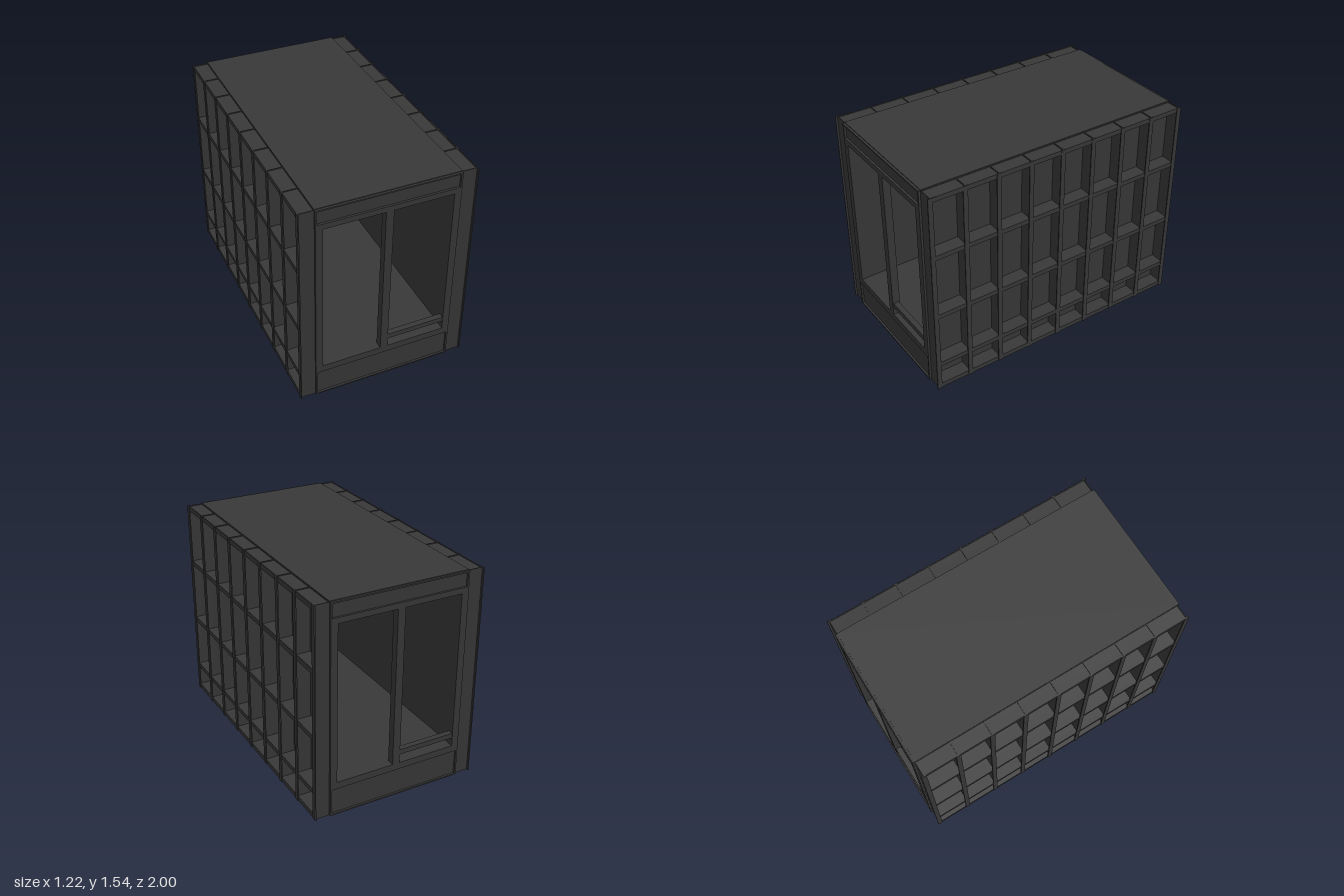
import * as THREE from 'three';

const material = new THREE.MeshStandardMaterial({ color: 0x383838 });

// Box given by its minimum and maximum corners
function block(parent, name, [x0, y0, z0], [x1, y1, z1]) {
  const mesh = new THREE.Mesh(new THREE.BoxGeometry(x1 - x0, y1 - y0, z1 - z0), material);
  mesh.position.set((x0 + x1) / 2, (y0 + y1) / 2, (z0 + z1) / 2);
  mesh.name = name;
  parent.add(mesh);
}

// Rectangular plate with rectangular holes, extruded from z0 to z1
function plate(parent, name, outer, holes, z0, z1) {
  const trace = (path, [x0, y0, x1, y1]) => {
    path.moveTo(x0, y0);
    path.lineTo(x1, y0);
    path.lineTo(x1, y1);
    path.lineTo(x0, y1);
    path.closePath();
    return path;
  };
  const shape = trace(new THREE.Shape(), outer);
  holes.forEach((h) => shape.holes.push(trace(new THREE.Path(), h)));
  const mesh = new THREE.Mesh(
    new THREE.ExtrudeGeometry(shape, { depth: z1 - z0, bevelEnabled: false }), material);
  mesh.position.z = z0;
  mesh.name = name;
  parent.add(mesh);
}

// End wall facing +z: channel beams, two window openings and a guard rail
function createEnd() {
  const end = new THREE.Group();
  const windows = [[-0.447, 0.25, -0.027, 1.388], [0.027, 0.25, 0.447, 1.388]];
  const panels = [[-0.485, 0.01, 0.485, 0.2], [-0.485, 1.428, 0.485, 1.525]];
  plate(end, 'endWall', [-0.497, 0.2, 0.497, 1.535], windows, 0.945, 0.985);
  plate(end, 'endFrame', [-0.497, 0, 0.497, 1.535], [...windows, ...panels], 0.985, 1);
  block(end, 'lowerBeamWeb', [-0.497, 0, 0.981], [0.497, 0.2, 0.986]);
  block(end, 'guardRail', [0.027, 0.31, 0.955], [0.447, 0.347, 0.995]);
  return end;
}

// Side facing +x: wall with a lattice of T-section ribs and shelves
function createSide() {
  const side = new THREE.Group();
  const t = 0.003;
  const shelf = 0.013;
  const half = 0.017;
  block(side, 'sideWall', [0.45, 0.2, -0.985], [0.5, 1.535, 0.985]);
  block(side, 'sideSkirt', [0.494, 0, -0.985], [0.5, 0.2, 0.985]);
  for (let i = 0; i <= 8; i++) {
    const z = -0.983 + (i * 1.966) / 8;
    block(side, 'ribWeb', [0.5, 0, z - t], [0.6, 1.535, z + t]);
    block(side, 'ribFlange', [0.6, 0, z - half], [0.608, 1.535, z + half]);
  }
  for (const y of [0.019, 0.207, 0.615, 1.085, 1.516]) {
    block(side, 'shelf', [0.5, y - shelf, -0.983], [0.597, y + shelf, 0.983]);
    block(side, 'shelfFlange', [0.597, y - half, -0.983], [0.604, y + half, 0.983]);
  }
  return side;
}

export function createModel() {
  const model = new THREE.Group();
  model.name = 'cabinModule';

  // Floor sits on a thin skirt, leaving a hollow underneath; roof closes the top
  block(model, 'floor', [-0.495, 0.195, -0.982], [0.495, 0.25, 0.982]);
  block(model, 'roof', [-0.498, 1.4, -0.984], [0.498, 1.54, 0.984]);

  // Ends and sides repeat by a half turn
  for (const [turn, endName, sideName] of [[0, 'frontEnd', 'leftSide'], [Math.PI, 'backEnd', 'rightSide']]) {
    const end = createEnd();
    end.name = endName;
    const side = createSide();
    side.name = sideName;
    end.rotation.y = side.rotation.y = turn;
    model.add(end, side);
  }
  return model;
}
